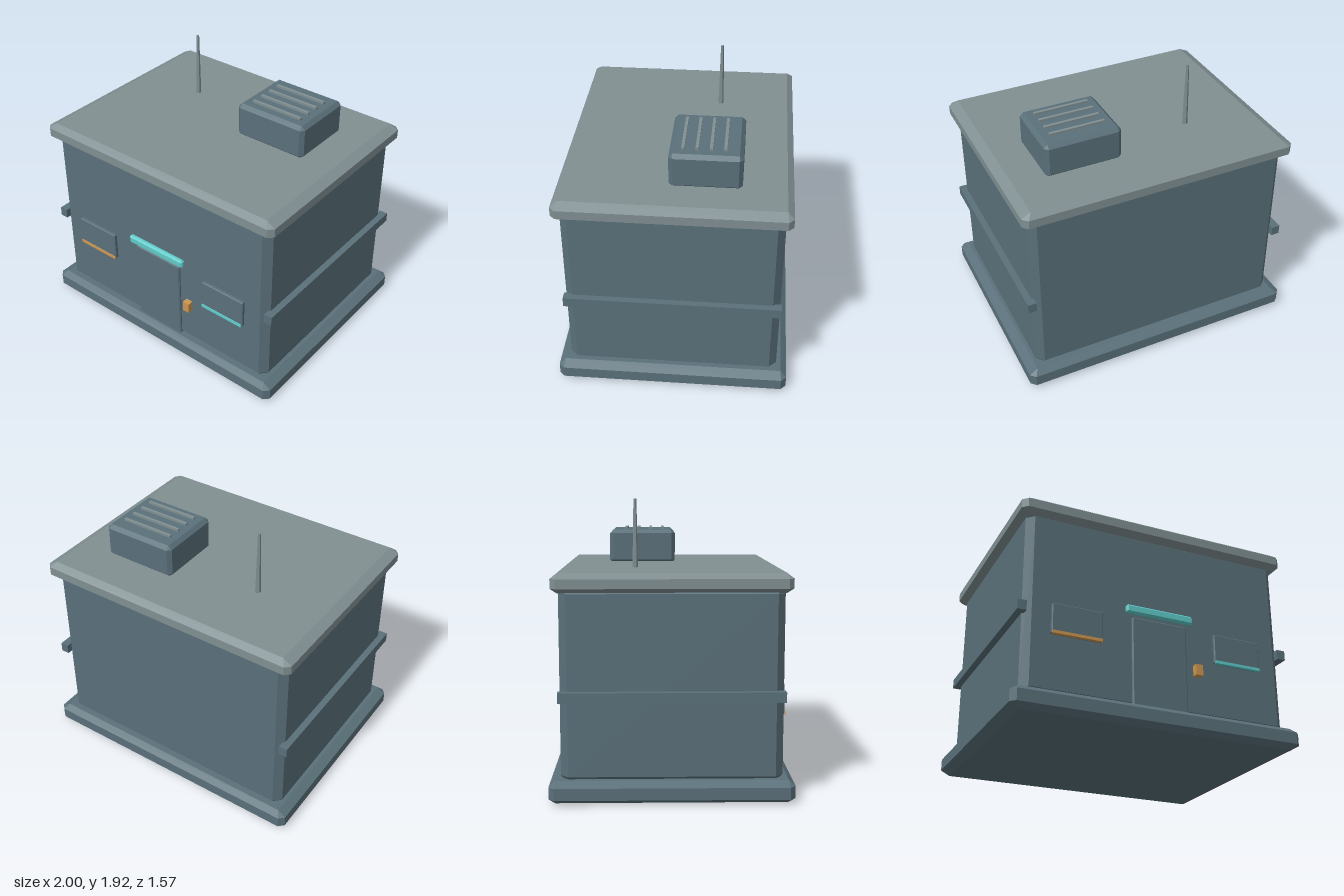
import * as THREE from 'three';
import { ConvexGeometry } from 'three/addons/geometries/ConvexGeometry.js';

const material = (name, color) => {
  const m = new THREE.MeshStandardMaterial({ color });
  m.name = name;
  return m;
};

// Box with bevelled edges, given by its min/max corners.
// bevel = [x inset, y height, z inset], corner = cut of the upright edges
function bevelledBox([x0, y0, z0], [x1, y1, z1], bevel, corner) {
  const hx = (x1 - x0) / 2, hy = (y1 - y0) / 2, hz = (z1 - z0) / 2;
  const [bx, by, bz] = bevel;
  const points = [];
  for (const sx of [-1, 1]) for (const sy of [-1, 1]) for (const sz of [-1, 1]) {
    const add = (x, y, z) => points.push(new THREE.Vector3(sx * x, sy * y, sz * z));
    add(hx, hy - by, hz - corner);
    add(hx - corner, hy - by, hz);
    add(hx - bx, hy, hz - bz);
  }
  return new ConvexGeometry(points).translate((x0 + x1) / 2, (y0 + y1) / 2, (z0 + z1) / 2);
}

function plainBox([x0, y0, z0], [x1, y1, z1]) {
  return new THREE.BoxGeometry(x1 - x0, y1 - y0, z1 - z0)
    .translate((x0 + x1) / 2, (y0 + y1) / 2, (z0 + z1) / 2);
}

export function createModel() {
  const slate = material('slate', 0x5a707a);
  const grey = material('roof grey', 0x808f92);
  const teal = material('teal', 0x5fcac8);
  const orange = material('orange', 0xcc9650);

  const model = new THREE.Group();
  model.name = 'building';
  const add = (name, geometry, mat) => {
    const mesh = new THREE.Mesh(geometry, mat);
    mesh.name = name;
    model.add(mesh);
    return mesh;
  };
  const even = (b) => [b, b, b];

  // Main volumes
  add('base', bevelledBox([-1, 0, -0.787], [1, 0.147, 0.787], [0.06, 0.034, 0.04], 0.035), slate);
  add('walls', bevelledBox([-0.922, 0.115, -0.715], [0.922, 1.39, 0.715], even(0.05), 0.05), slate);
  add('roof', bevelledBox([-0.97, 1.343, -0.76], [0.97, 1.47, 0.76], [0.065, 0.033, 0.042], 0.035), grey);

  // Rails along both side walls
  for (const side of [-1, 1]) {
    const rail = plainBox([-0.03, 0.655, -0.722], [0.03, 0.722, 0.722]).translate(side * 0.937, 0, 0);
    add(side > 0 ? 'leftRail' : 'rightRail', rail, slate);
  }

  // Door, canopy and door panel
  add('door', bevelledBox([-0.195, 0.13, 0.69], [0.195, 0.75, 0.732], even(0.008), 0.008), slate);
  add('canopy', bevelledBox([-0.24, 0.768, 0.713], [0.24, 0.828, 0.752], even(0.012), 0.012), teal);
  add('doorPanel', plainBox([0.247, 0.413, 0.71], [0.298, 0.488, 0.757]), orange);

  // Windows with a coloured sill strip
  for (const side of [-1, 1]) {
    const name = side > 0 ? 'left' : 'right';
    const x = side * 0.573;
    add(name + 'Window', bevelledBox([x - 0.172, 0.527, 0.69], [x + 0.172, 0.735, 0.738], even(0.006), 0.006), slate);
    add(name + 'Sill', plainBox([x - 0.167, 0.526, 0.72], [x + 0.167, 0.546, 0.746]), side > 0 ? teal : orange);
  }

  // Rooftop cooling unit with slats
  add('coolingUnit', bevelledBox([0.15, 1.455, -0.432], [0.685, 1.7, 0.042], even(0.026), 0.026), slate);
  for (let i = 0; i < 4; i++) {
    const z = -0.315 + i * 0.09;
    add('slat' + (i + 1), plainBox([0.225, 1.69, z - 0.01], [0.61, 1.716, z + 0.01]), grey);
  }

  // Antenna
  add('antenna', new THREE.CylinderGeometry(0.01, 0.019, 0.475, 6).toNonIndexed().translate(-0.42, 1.6875, -0.238), grey)
    .geometry.computeVertexNormals();

  return model;
}
